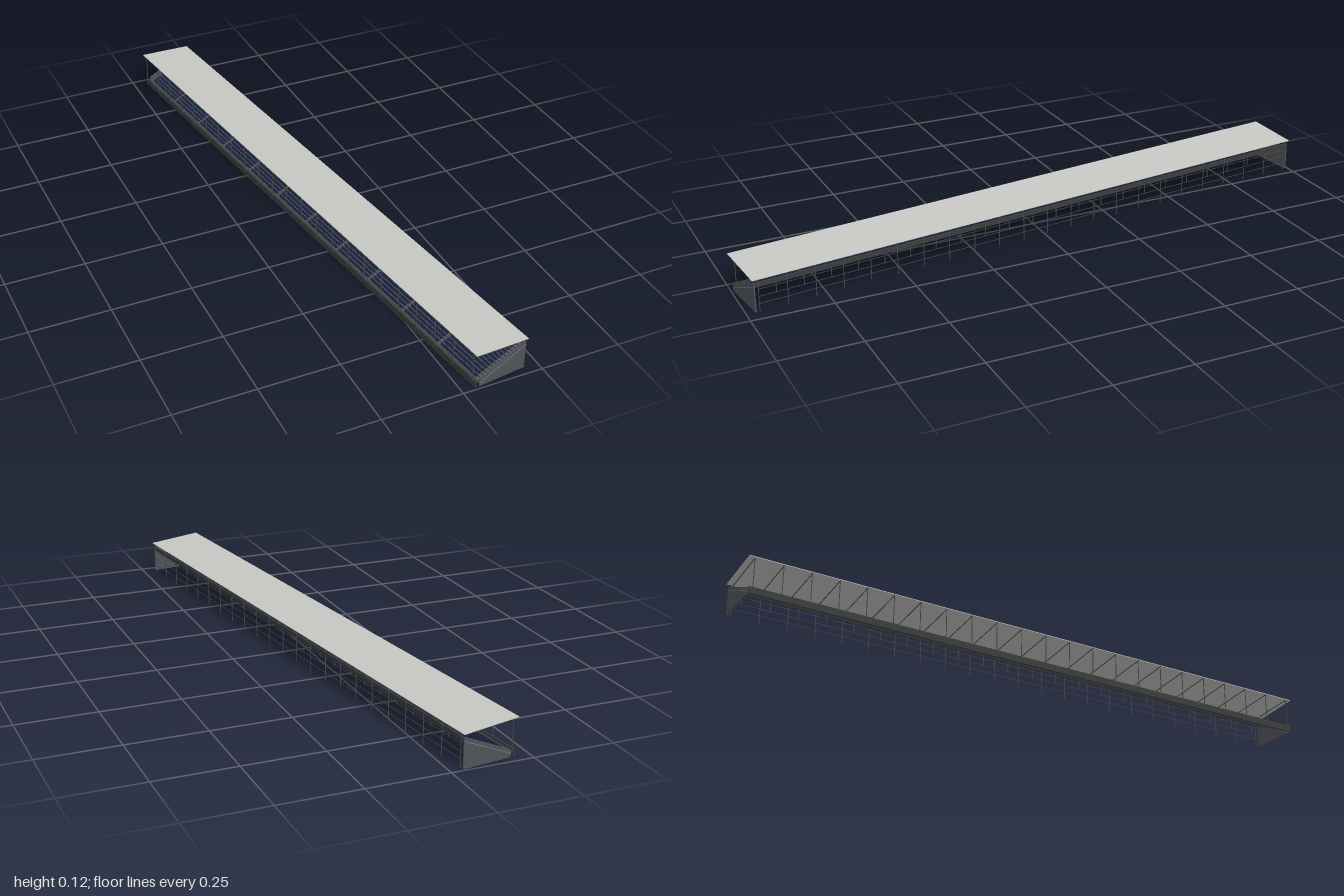
import * as THREE from 'three';
import { mergeGeometries } from 'three/addons/utils/BufferGeometryUtils.js';

const mat = (name, color) => {
  const m = new THREE.MeshStandardMaterial({ color });
  m.name = name;
  return m;
};

export function createModel() {
  const concrete = mat('slate concrete', 0x505358);
  const dark = mat('dark concrete', 0x3c3e3d);
  const roofGrey = mat('light roof', 0xc6c6c3);
  const steel = mat('steel', 0x484b4e);
  const trim = mat('trim grey', 0x85888a);
  const navy = mat('navy seat', 0x1a2440);

  const model = new THREE.Group();
  model.name = 'grandstand';
  // x runs across the stand (front at -x), z along it
  const stand = new THREE.Group();
  stand.name = 'stand';
  stand.rotation.y = 0.124;
  model.add(stand);

  const add = (name, geometry, material) => {
    const mesh = new THREE.Mesh(geometry, material);
    mesh.name = name;
    stand.add(mesh);
  };
  const box = (w, h, d, x, y, z) => new THREE.BoxGeometry(w, h, d).translate(x, y, z);
  // Cross-section in (x, y), extruded along z and centred at z
  const section = (points, depth, z = 0) => {
    const shape = new THREE.Shape(points.map(p => new THREE.Vector2(p[0], p[1])));
    return new THREE.ExtrudeGeometry(shape, { depth, bevelEnabled: false }).translate(0, 0, z - depth / 2);
  };

  const L = 1.98, rows = 14, x0 = -0.07, y0 = 0.016, run = 0.15 / rows, rise = 0.066 / rows;

  // Stepped terrace with a flat sloping underside
  const profile = [[x0, 0.011]];
  for (let i = 0; i < rows; i++) {
    profile.unshift([x0 + i * run, y0 + i * rise]);
    profile.unshift([x0 + (i + 1) * run, y0 + i * rise]);
  }
  profile.unshift([x0 + rows * run, 0.076]);
  add('terrace', section(profile.reverse(), L - 0.004), concrete);

  // Front wall with a walkway behind it, and the rear parapet
  add('frontWall', box(0.005, 0.022, L, -0.0805, 0.011, 0), dark);
  add('walkway', box(0.01, 0.004, L - 0.004, -0.074, 0.0135, 0), dark);
  add('rearParapet', box(0.005, 0.014, L, 0.0825, 0.084, 0), dark);

  // End walls with a raised trim line following the slope
  for (const s of [-1, 1]) {
    add('endWall', section([[-0.07, 0], [0.085, 0], [0.085, 0.091], [0.079, 0.091], [-0.07, 0.023]],
      0.004, s * (L / 2 - 0.001)), concrete);
    add('endTrim', section([[-0.07, 0.0115], [0.085, 0.0805], [0.085, 0.082], [-0.07, 0.013]],
      0.001, s * (L / 2 + 0.0012)), trim);
  }

  // Seats in blocks separated by aisles
  const seatProfile = [[-0.003, 0], [0.003, 0], [0.0036, 0.0062], [0.0024, 0.0062], [0.0018, 0.0028], [-0.003, 0.0028]];
  const seat = section(seatProfile, 0.0058);
  const seats = [], blocks = 11, perBlock = 21, blockLength = 1.95 / blocks;
  for (let r = 0; r < rows; r++)
    for (let b = 0; b < blocks; b++)
      for (let k = 0; k < perBlock; k++)
        seats.push(seat.clone().translate(
          x0 + (r + 0.62) * run, y0 + r * rise,
          (b - (blocks - 1) / 2) * blockLength + (k - (perBlock - 1) / 2) * 0.0079));
  add('seats', mergeGeometries(seats), navy);

  // Thin sloping roof
  const roofY = x => 0.1165 - (x + 0.0885) * 0.079;
  add('roof', section([[-0.0885, roofY(-0.0885) - 0.001], [0.0885, roofY(0.0885) - 0.001],
    [0.0885, roofY(0.0885) + 0.001], [-0.0885, roofY(-0.0885) + 0.001]], 1.992), roofGrey);

  // Posts, roof beams and short inner columns at each bay
  const front = [], back = [], inner = [], beams = [], bays = 22;
  for (let i = 0; i <= bays; i++) {
    const z = (i / bays - 0.5) * 1.955;
    front.push(box(0.002, 0.1, 0.002, -0.0845, 0.0655, z));
    back.push(box(0.002, 0.102, 0.002, 0.0855, 0.051, z));
    inner.push(box(0.002, 0.034, 0.002, 0.0, 0.017, z));
    beams.push(section([[-0.087, roofY(-0.087) - 0.003], [0.087, roofY(0.087) - 0.003],
      [0.087, roofY(0.087) - 0.0009], [-0.087, roofY(-0.087) - 0.0009]], 0.002, z));
  }
  add('frontPosts', mergeGeometries(front), steel);
  add('backPosts', mergeGeometries(back), steel);
  add('innerColumns', mergeGeometries(inner), steel);
  add('roofBeams', mergeGeometries(beams), steel);

  // Horizontal rails between the back posts
  for (const y of [0.025, 0.048, 0.071]) add('backRail', box(0.0012, 0.0014, 1.955, 0.0855, y, 0), steel);

  return model;
}
